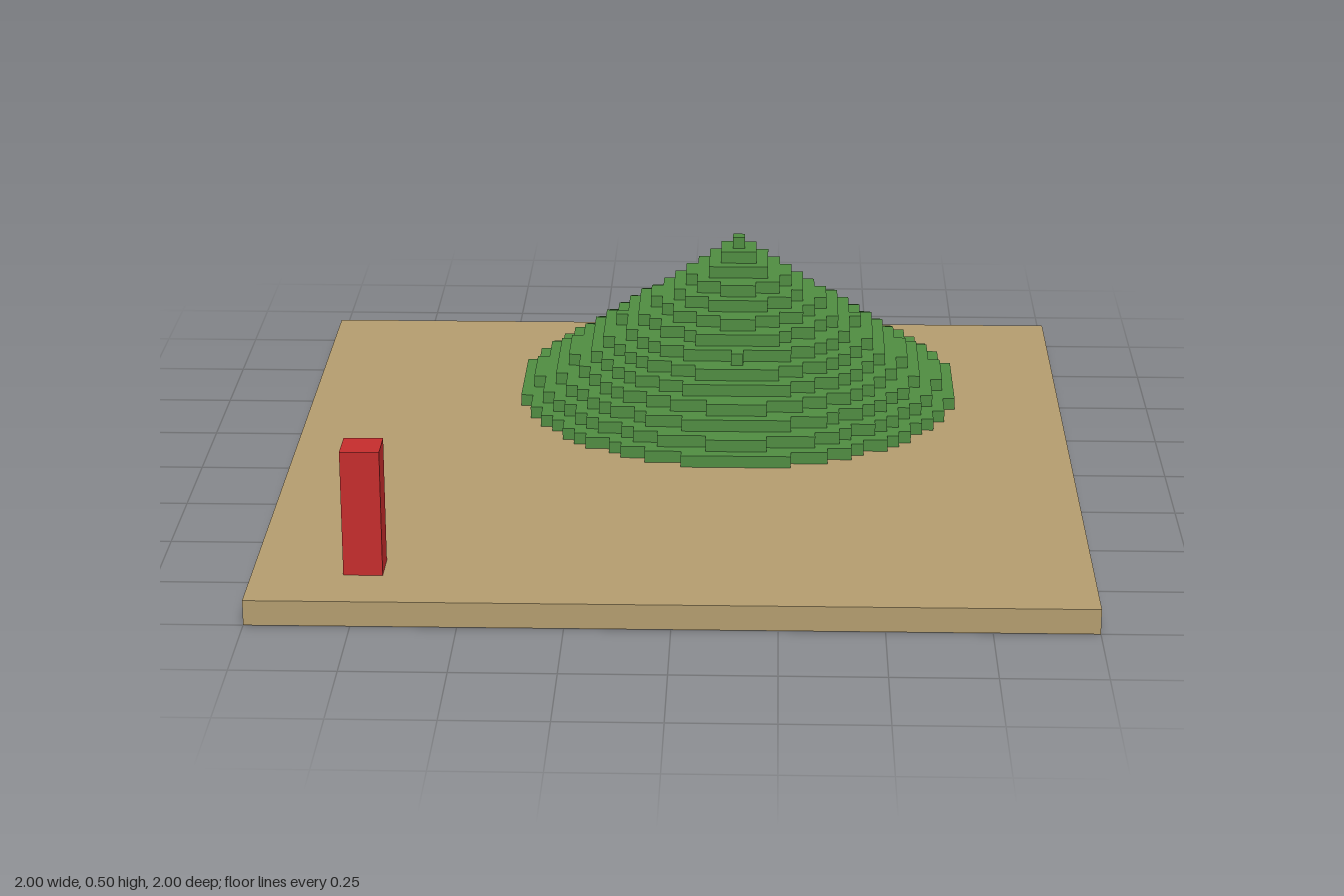
import * as THREE from 'three';

const CELL = 1 / 32; // size of one block
const BASE_TOP = 2 * CELL;

function material(name, color) {
  const m = new THREE.MeshStandardMaterial({ color });
  m.name = name;
  return m;
}

// Stepped outline of a disc of blocks, cut off at the back edge of the base
function blockDisc(radius) {
  const rows = Math.floor(radius);
  const right = [], left = [];
  for (let row = Math.max(-rows, -17); row <= rows; row++) {
    const half = Math.floor(Math.sqrt(radius * radius - row * row) + 1e-9) + 0.5;
    const previous = right.length ? right[right.length - 1].x / CELL : null;
    if (previous === half) {
      // Same width as the row before: lengthen that step
      right[right.length - 1].y = left[left.length - 1].y = (row + 0.5) * CELL;
      continue;
    }
    for (const end of [row - 0.5, row + 0.5]) {
      right.push(new THREE.Vector2(half * CELL, end * CELL));
      left.push(new THREE.Vector2(-half * CELL, end * CELL));
    }
  }
  return new THREE.Shape([...right, ...left.reverse()]);
}

export function createModel() {
  const sand = material('sand', 0xb39c6e);
  const green = material('grass green', 0x4f8c41);
  const red = material('red', 0xc42c2c);
  const model = new THREE.Group();
  model.name = 'landscapeTile';

  // Flat ground slab
  const base = new THREE.Mesh(new THREE.BoxGeometry(2, BASE_TOP, 2), sand);
  base.name = 'groundSlab';
  base.position.y = BASE_TOP / 2;
  model.add(base);

  // Conical hill in one-block layers
  const hill = new THREE.Group();
  hill.name = 'hill';
  hill.position.set(4.5 * CELL, BASE_TOP, -14.5 * CELL);
  const layers = 14;
  for (let i = 0; i < layers; i++) {
    const radius = (20 * (layers - 1 - i)) / layers;
    const geometry = new THREE.ExtrudeGeometry(blockDisc(radius), { depth: CELL, bevelEnabled: false });
    geometry.rotateX(Math.PI / 2);
    const layer = new THREE.Mesh(geometry, green);
    layer.name = `hillLayer${i + 1}`;
    layer.position.y = (i + 1) * CELL;
    hill.add(layer);
  }
  model.add(hill);

  // Square marker post
  const post = new THREE.Mesh(new THREE.BoxGeometry(3 * CELL, 10 * CELL, 3 * CELL), red);
  post.name = 'markerPost';
  post.position.set(-23.5 * CELL, BASE_TOP + 5 * CELL, 25.5 * CELL);
  model.add(post);

  return model;
}
